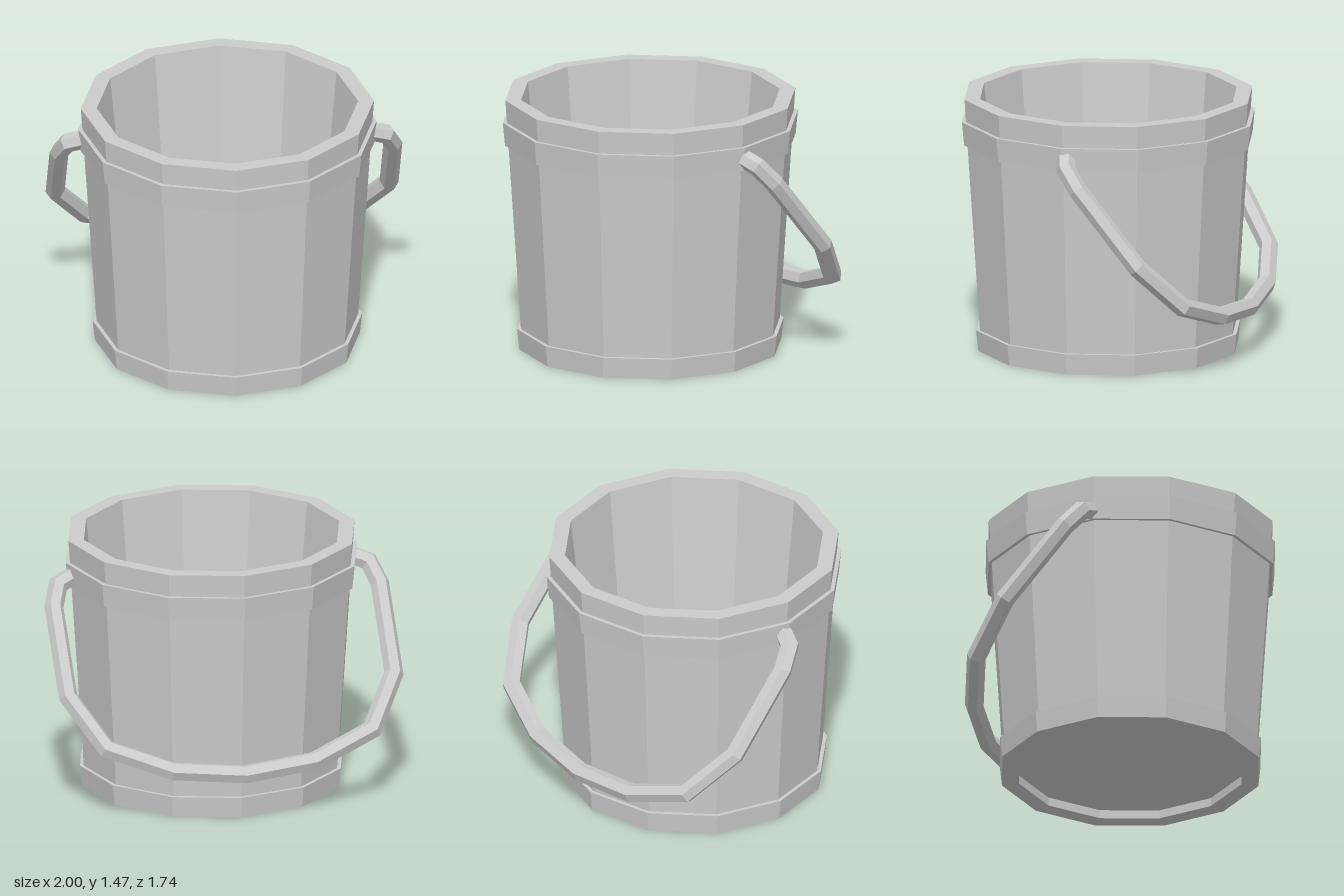
import * as THREE from 'three';

const material = new THREE.MeshStandardMaterial({ color: 0xcccccc, flatShading: true });

// Twelve-sided turned part from [radius, height] pairs, outside going up
function turned(name, profile) {
  const points = profile.map(([r, y]) => new THREE.Vector2(r, y));
  const mesh = new THREE.Mesh(new THREE.LatheGeometry(points, 12), material);
  mesh.name = name;
  return mesh;
}

// Six-sided bar swept along a flat path with mitred corners
function mitredBar(path, radius) {
  const sides = 6;
  const positions = [];
  const index = [];
  path.forEach((p, i) => {
    const before = p.clone().sub(path[Math.max(i - 1, 0)]).normalize();
    const after = path[Math.min(i + 1, path.length - 1)].clone().sub(p).normalize();
    const tangent = before.clone().add(after).normalize();
    const miter = 1 / Math.max(tangent.dot(i ? before : after), 0.5);
    for (let j = 0; j < sides; j++) {
      const a = (j / sides) * Math.PI * 2;
      const k = radius * Math.cos(a) * miter;
      positions.push(p.x - tangent.y * k, p.y + tangent.x * k, radius * Math.sin(a));
    }
    if (i === path.length - 1) return;
    for (let j = 0; j < sides; j++) {
      const a = i * sides + j;
      const b = i * sides + ((j + 1) % sides);
      index.push(a, b, a + sides, b, b + sides, a + sides);
    }
  });
  const geometry = new THREE.BufferGeometry();
  geometry.setAttribute('position', new THREE.Float32BufferAttribute(positions, 3));
  geometry.setIndex(index);
  geometry.computeVertexNormals();
  return geometry;
}

export function createModel() {
  const model = new THREE.Group();
  model.name = 'bucket';

  // Tapered tub with a thick wall, inner floor and recessed underside
  const tub = new THREE.Group();
  tub.name = 'tub';
  tub.position.z = 0.022;
  tub.add(
    turned('body', [
      [0, 0.05], [0.65, 0.05], [0.65, 0], [0.733, 0],
      [0.83, 1.465], [0.74, 1.465], [0.6, 0.1], [0, 0.1],
    ]),
    turned('lowerHoop', [[0.733, 0], [0.75, 0], [0.763, 0.12], [0.735, 0.12]]),
    turned('upperHoop', [[0.805, 1.2], [0.832, 1.2], [0.845, 1.335], [0.815, 1.335]]),
  );
  model.add(tub);

  // Swinging handle, folded down toward the back
  const half = [[0.79, 0], [0.9, -0.055], [0.945, -0.19], [0.945, -0.74], [0.77, -1.07], [0.41, -1.235]];
  const path = [
    ...half,
    [0, -1.285],
    ...half.slice().reverse().map(([x, y]) => [-x, y]),
  ].map(([x, y]) => new THREE.Vector2(x, y));
  const handle = new THREE.Mesh(mitredBar(path, 0.054), material);
  handle.name = 'handle';
  handle.position.set(0, 1.27, 0.01);
  handle.rotation.x = 0.697;
  model.add(handle);

  return model;
}
